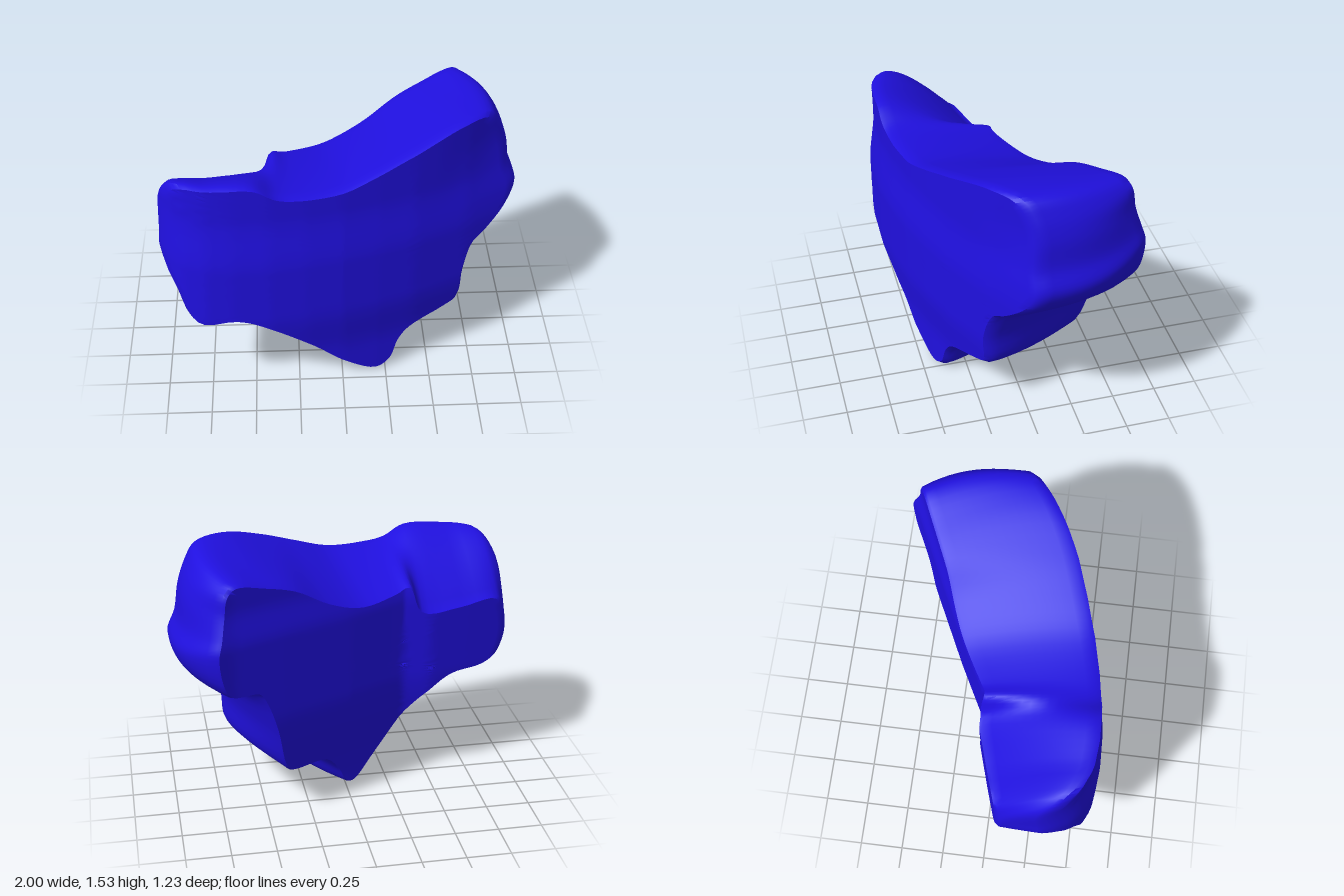
import * as THREE from 'three';
import { toCreasedNormals } from 'three/addons/utils/BufferGeometryUtils.js';

// Matching outline points, counter-clockwise from the bottom tip: [x, y]
const FRONT = [
  [.2, 0], [.28, .04], [.33, .17], [.4, .25], [.6, .32], [.675, .36], [.7, .56], [.76, .74],
  [.84, .8], [.96, .93], [.995, 1.04], [.95, 1.16], [.925, 1.32], [.88, 1.44], [.82, 1.52], [.66, 1.525],
  [.4, 1.445], [.2, 1.37], [0, 1.305], [-.25, 1.3], [-.36, 1.32], [-.48, 1.385], [-.7, 1.385], [-.9, 1.36],
  [-.98, 1.24], [-1, 1], [-1, .85], [-.92, .69], [-.82, .5], [-.6, .53], [-.45, .48], [-.2, .3], [0, .12],
];
const BACK = [
  [-.04, .05], [.01, .06], [.07, .17], [.15, .26], [.36, .27], [.4, .32], [.45, .57], [.51, .76],
  [.56, .84], [.72, .87], [.78, 1.1], [.76, 1.2], [.74, 1.32], [.72, 1.43], [.67, 1.47], [.5, 1.43],
  [.33, 1.37], [.13, 1.25], [-.08, 1.18], [-.3, 1.2], [-.38, 1.22], [-.45, 1.07], [-.7, 1.06], [-.93, 1.07],
  [-.97, 1], [-.99, .9], [-.98, .8], [-.93, .7], [-.85, .66], [-.65, .64], [-.5, .55], [-.37, .43], [-.18, .2],
];
// Plan profiles of the two broad faces: [x, z]
const FRONT_Z = [[-1, .36], [-.95, .46], [-.87, .54], [-.75, .595], [-.6, .61], [-.4, .605], [-.2, .575],
  [0, .53], [.2, .465], [.4, .39], [.7, .24], [1, .05]];
const BACK_Z = [[-1, .08], [-.75, 0], [-.5, -.075], [-.42, -.075], [-.34, -.075], [-.26, -.115], [0, -.25],
  [.4, -.44], [.68, -.57], [.78, -.63]];

function lookUp(table, x) {
  let i = 1;
  while (i < table.length - 1 && x > table[i][0]) i++;
  const [x0, z0] = table[i - 1], [x1, z1] = table[i];
  return z0 + (z1 - z0) * THREE.MathUtils.clamp((x - x0) / (x1 - x0), 0, 1);
}

// Both faces fall away a little towards the top and the bottom tip
const { smoothstep } = THREE.MathUtils;
const frontZ = (x, y) => lookUp(FRONT_Z, x) - .035 * smoothstep(Math.abs(y - .7), .15, .5)
  - .04 * smoothstep(y, 1, 1.4) * smoothstep(x, .5, .9);
const backZ = (x, y) => lookUp(BACK_Z, x) + .08 * (1 - smoothstep(y, .05, .7))
  + .035 * smoothstep(y, 1.12, 1.35);

function outline(points, n) {
  const curve = new THREE.CatmullRomCurve3(
    points.map(([x, y]) => new THREE.Vector3(x, y, 0)), true, 'centripetal');
  return Array.from({ length: n }, (_, j) => curve.getPoint(j / n));
}

function slabGeometry() {
  const N = 165, CAP = 24, SIDE = 12, RIM = .03;
  const front = outline(FRONT, N), back = outline(BACK, N);
  const rings = [];
  // One ring of a broad face, scaled towards the face centre
  const capRing = (pts, cx, cy, surface, s) => pts.map(p => {
    const x = cx + (p.x - cx) * s, y = cy + (p.y - cy) * s;
    return [x, y, surface(x, y)];
  });
  for (let i = 0; i <= CAP; i++) rings.push(capRing(front, 0, .9, frontZ, .98 * i / CAP));
  // Edge wall between the outlines, bowed outwards most at the right end
  for (let i = 0; i <= SIDE; i++) {
    const t = i / SIDE;
    rings.push(front.map((f, j) => {
      const b = back[j], k = Math.pow(t, 1.5 + 1.3 * smoothstep(f.x, .7, .95));
      const zf = frontZ(f.x, f.y) - RIM, zb = backZ(b.x, b.y) + RIM * .6;
      return [f.x + (b.x - f.x) * k, f.y + (b.y - f.y) * k, zf + (zb - zf) * t];
    }));
  }
  for (let i = CAP; i >= 0; i--) rings.push(capRing(back, -.08, .8, backZ, .98 * i / CAP));

  // Join neighbouring rings, with single triangles at the two centres
  const index = [], last = rings.length - 1;
  for (let i = 0; i < last; i++) for (let j = 0; j < N; j++) {
    const a = i * N + j, b = i * N + (j + 1) % N, c = a + N, d = b + N;
    if (i < last - 1) index.push(a, c, d);
    if (i > 0) index.push(a, d, b);
  }
  const g = new THREE.BufferGeometry();
  g.setAttribute('position', new THREE.Float32BufferAttribute(rings.flat(2), 3));
  g.setIndex(index);
  return toCreasedNormals(g, 0.7);
}

export function createModel() {
  const group = new THREE.Group();
  group.name = 'brokenFragment';
  const mesh = new THREE.Mesh(slabGeometry(), new THREE.MeshStandardMaterial({ color: 0x2010e0 }));
  mesh.name = 'bentSlab';
  group.add(mesh);
  return group;
}
